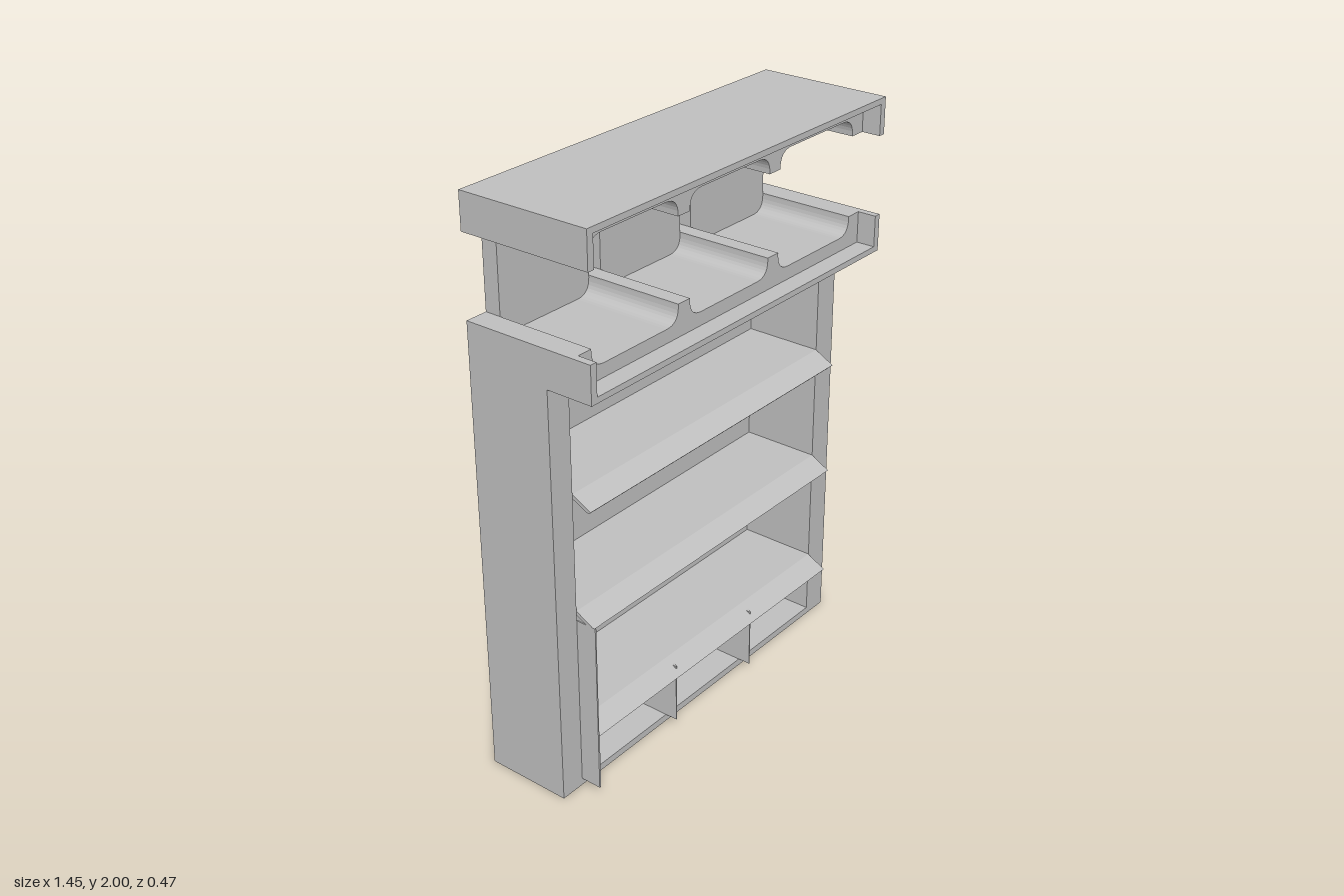
import * as THREE from 'three';

export function createModel() {
  const model = new THREE.Group();
  model.name = 'displayCabinet';
  const grey = new THREE.MeshStandardMaterial({ color: 0xc0c0c0 });
  grey.name = 'plain grey';
  const BACK = -0.237, FRONT = 0.237, FACE = 0.07, W = 0.725;

  const add = (name, geometry, parent = model) => {
    const mesh = new THREE.Mesh(geometry, grey);
    mesh.name = name;
    parent.add(mesh);
    return mesh;
  };
  // Box given by its limits on each axis
  const box = (name, x0, x1, y0, y1, z0, z1, parent) => {
    const g = new THREE.BoxGeometry(x1 - x0, y1 - y0, z1 - z0);
    g.translate((x0 + x1) / 2, (y0 + y1) / 2, (z0 + z1) / 2);
    return add(name, g, parent);
  };

  // Cabinet carcass
  const L = -0.635, R = 0.63;
  box('cabinetBack', -W, W, 0, 1.472, BACK, -0.21);
  box('cabinetBase', L, R, 0, 0.025, -0.21, FACE);
  box('cabinetSideRight', -W, L, 0, 1.472, -0.21, FACE);
  box('cabinetSideLeft', R, W, 0, 1.472, -0.21, FACE);

  // Shelves with a front lip sloping down and outward
  for (const top of [1.09, 0.675, 0.26]) {
    const profile = new THREE.Shape([
      [-0.21, 0], [FACE, 0], [0.14, -0.038], [0.132, -0.046], [FACE, -0.016], [-0.21, -0.016],
    ].map(([z, y]) => new THREE.Vector2(-z, top + y)));
    const g = new THREE.ExtrudeGeometry(profile, { depth: R - L, bevelEnabled: false });
    g.rotateY(Math.PI / 2).translate(L, 0, 0);
    add('shelf', g);
  }

  // Bottom dividers with slanted front ends, seen in plan
  for (const [x, nose, width] of [[-0.632, 0.145, 0.047], [-0.203, 0.115, 0.038], [0.21, 0.115, 0.04]]) {
    const plan = new THREE.Shape([
      [x, -0.21], [x + width, -0.21], [x + width, 0.05], [x + 0.004, nose], [x, nose],
    ].map(([px, pz]) => new THREE.Vector2(px, -pz)));
    const g = new THREE.ExtrudeGeometry(plan, { depth: 0.22, bevelEnabled: false });
    g.rotateX(-Math.PI / 2).translate(0, 0.025, 0);
    add('bottomDivider', g);
  }
  // Thin cheek standing proud at one side
  box('sideCheek', L, L + 0.005, 0.025, 0.64, FACE, 0.145);

  // Open-fronted tray and its mirrored cap, with three rounded troughs
  const pockets = [[-0.645, -0.255], [-0.2, 0.192], [0.247, 0.643]];
  const buildTray = (name, outer, rim) => {
    const group = new THREE.Group();
    group.name = name;
    model.add(group);
    const d = Math.sign(rim - outer);
    const inner = outer + d * 0.02, floor = outer + d * 0.066, r = 0.055;
    const span = (a, b) => [Math.min(a, b), Math.max(a, b)];
    box('trayPlate', -W, W, ...span(outer, inner), BACK, FRONT, group);
    box('trayBack', -W, W, ...span(inner, rim), BACK, -0.18, group);
    for (const s of [-1, 1]) {
      box('trayEnd', ...span(s * 0.7, s * W), ...span(inner, rim), -0.18, FRONT, group);
    }
    const shape = new THREE.Shape();
    shape.moveTo(-0.7, inner);
    shape.lineTo(-0.7, rim);
    for (const [a, b] of pockets) {
      shape.lineTo(a, rim);
      shape.lineTo(a, floor + d * r);
      shape.quadraticCurveTo(a, floor, a + r, floor);
      shape.lineTo(b - r, floor);
      shape.quadraticCurveTo(b, floor, b, floor + d * r);
      shape.lineTo(b, rim);
    }
    shape.lineTo(0.7, rim);
    shape.lineTo(0.7, inner);
    const g = new THREE.ExtrudeGeometry(shape, { depth: 0.35, bevelEnabled: false, curveSegments: 8 });
    g.translate(0, 0, -0.18);
    add('troughs', g, group);
  };
  buildTray('lowerTray', 1.472, 1.6);
  buildTray('topCap', 2, 1.875);

  // Back panels joining tray and cap, leaving slots between them
  for (const [a, b] of pockets) box('backPanel', a, b, 1.6, 1.875, BACK, -0.18);

  return model;
}
